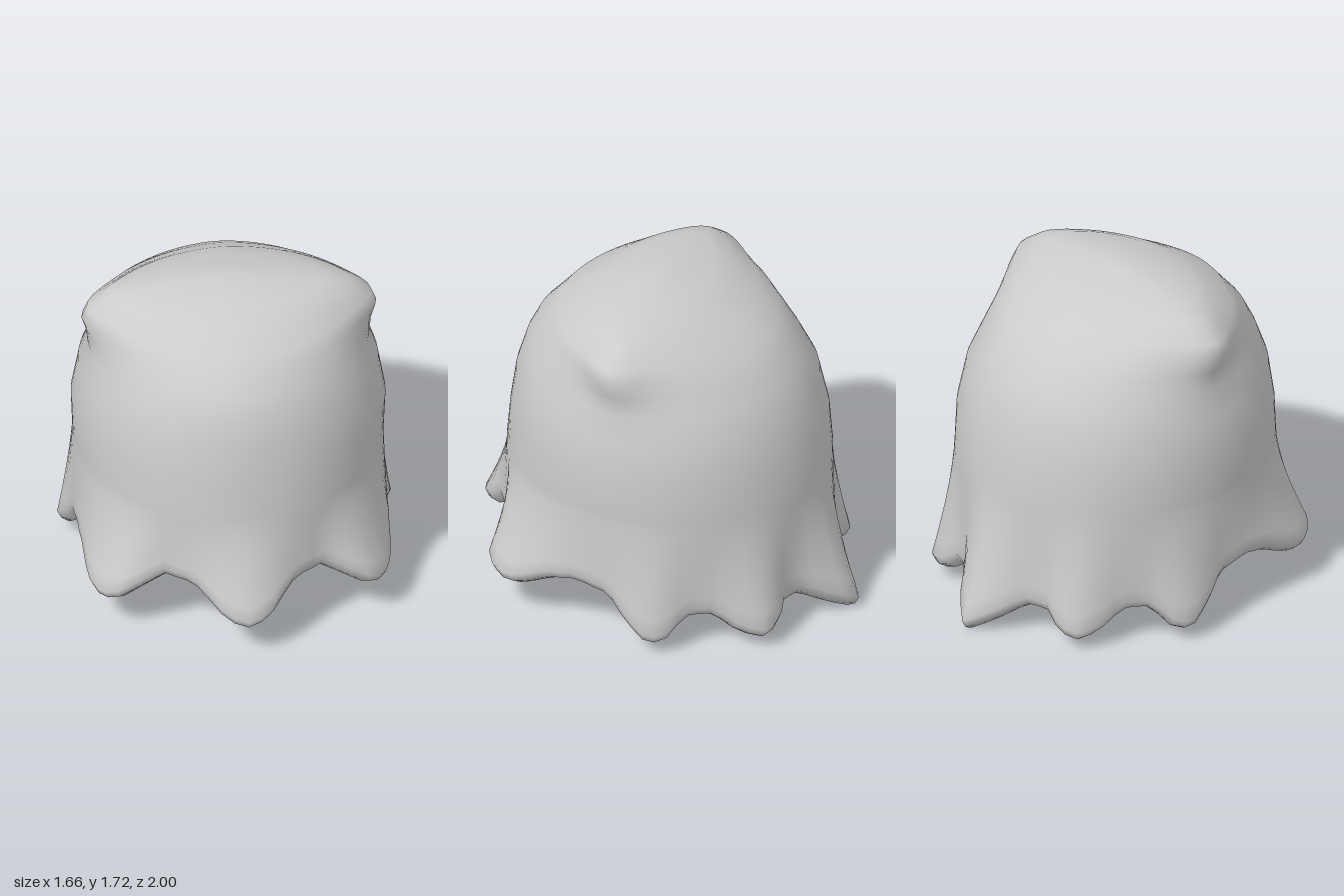
import * as THREE from 'three';
import { mergeVertices } from 'three/addons/utils/BufferGeometryUtils.js';

const { lerp, radToDeg } = THREE.MathUtils;
const COLUMNS = 88, SKIRT_ROWS = 8;

// Body sections, top down: y, half width, front z, back z, centre z, roundness (2 = ellipse), ear bump
const BODY = [
  [1.715, 0.001, 0.071, 0.069, 0.07, 2, 0],
  [1.705, 0.15, 0.17, 0.0, 0.07, 1.9, 0],
  [1.69, 0.3, 0.24, -0.06, 0.07, 1.85, 0],
  [1.665, 0.47, 0.34, -0.16, 0.06, 1.8, 0.01],
  [1.63, 0.57, 0.42, -0.27, 0.05, 1.75, 0.03],
  [1.55, 0.66, 0.56, -0.41, 0.05, 1.75, 0.05],
  [1.48, 0.675, 0.62, -0.52, 0.04, 1.78, 0.06],
  [1.4, 0.68, 0.69, -0.59, 0.03, 1.85, 0.03],
  [1.3, 0.7, 0.74, -0.66, 0.02, 1.92, 0],
  [1.16, 0.745, 0.78, -0.73, 0.02, 2, 0],
  [0.95, 0.78, 0.81, -0.78, 0.01, 2, 0],
  [0.75, 0.772, 0.83, -0.8, 0, 2, 0],
];

// Hem from front (0 degrees) round to the back (180): angle, radius, height
const HEM = [
  [0, 1.0, 0.18], [6, 0.97, 0.2], [13, 0.89, 0.29], [18, 0.85, 0.34], [29, 0.83, 0.35],
  [36, 0.9, 0.28], [41, 0.96, 0.22], [47, 0.97, 0.175], [54, 0.93, 0.19], [64, 0.85, 0.27],
  [75, 0.8, 0.3], [88, 0.78, 0.26], [96, 0.82, 0.14], [104, 0.86, 0.05], [110, 0.84, 0.07],
  [117, 0.78, 0.17], [126, 0.78, 0.18], [131, 0.8, 0.14], [137, 0.86, 0.08], [144, 0.91, 0.05],
  [150, 0.88, 0.08], [156, 0.81, 0.15], [165, 0.82, 0.15], [172, 0.91, 0.08], [180, 1.0, 0.0],
];

function hemAt(angle) {
  const deg = radToDeg(Math.min(angle, Math.PI * 2 - angle));
  let i = 0;
  while (i < HEM.length - 2 && HEM[i + 1][0] < deg) i++;
  const [a, b] = [HEM[i], HEM[i + 1]];
  const t = (deg - a[0]) / (b[0] - a[0]);
  return { r: lerp(a[1], b[1], t), y: lerp(a[2], b[2], t) };
}

// Radius of a rounded section in one direction, with an ear bump at each side
function sectionRadius([, halfWidth, front, back, centre, p, ear], angle) {
  const s = Math.abs(Math.sin(angle)), c = Math.cos(angle);
  const depth = c >= 0 ? front - centre : centre - back;
  const r = Math.pow(Math.pow(s / halfWidth, p) + Math.pow(Math.abs(c) / depth, p), -1 / p);
  return r + ear * Math.exp(-((c / 0.22) ** 2));
}

// One line of points from the crown over the hem to the middle of the underside
function sheetLine(angle) {
  const line = [], s = Math.sin(angle), c = Math.cos(angle);
  const add = (r, y, centre = 0) => line.push([r * s, y, centre + r * c]);
  BODY.forEach((row, i) => add(i === 0 ? 0 : sectionRadius(row, angle), row[0], row[4]));

  // Flaring skirt
  const last = BODY[BODY.length - 1];
  const start = sectionRadius(last, angle), hem = hemAt(angle);
  for (let k = 1; k <= SKIRT_ROWS; k++) {
    const t = k / SKIRT_ROWS;
    add(lerp(start, hem.r, Math.pow(t, 1.4)), lerp(last[0], hem.y + 0.06, t));
  }

  // Rounded lower edge
  add(hem.r - 0.02, hem.y + 0.02);
  add(hem.r - 0.06, hem.y);

  // Closed underside, sloping down towards the back
  for (const [f, blend] of [[0.88, 0.5], [0.74, 0.9], [0.5, 1], [0.25, 1], [0, 1]]) {
    const r = (hem.r - 0.06) * f;
    add(r, lerp(hem.y, 0.25 + 0.125 * r * c, blend));
  }
  return line;
}

function sheetGeometry() {
  const positions = [], index = [];
  let rows = 0;
  for (let j = 0; j < COLUMNS; j++) {
    const line = sheetLine((j / COLUMNS) * Math.PI * 2);
    rows = line.length;
    positions.push(...line.flat());
  }
  for (let j = 0; j < COLUMNS; j++) {
    for (let i = 0; i < rows - 1; i++) {
      const a = j * rows + i, b = ((j + 1) % COLUMNS) * rows + i;
      index.push(a, a + 1, b + 1, a, b + 1, b);
    }
  }
  const geometry = new THREE.BufferGeometry();
  geometry.setAttribute('position', new THREE.Float32BufferAttribute(positions, 3));
  geometry.setIndex(index);
  const merged = mergeVertices(geometry, 1e-4);
  merged.computeVertexNormals();
  return merged;
}

export function createModel() {
  const group = new THREE.Group();
  group.name = 'drapedGhost';
  const sheet = new THREE.Mesh(sheetGeometry(), new THREE.MeshStandardMaterial({ color: 0xcccccc }));
  sheet.name = 'drapedSheet';
  group.add(sheet);
  return group;
}
